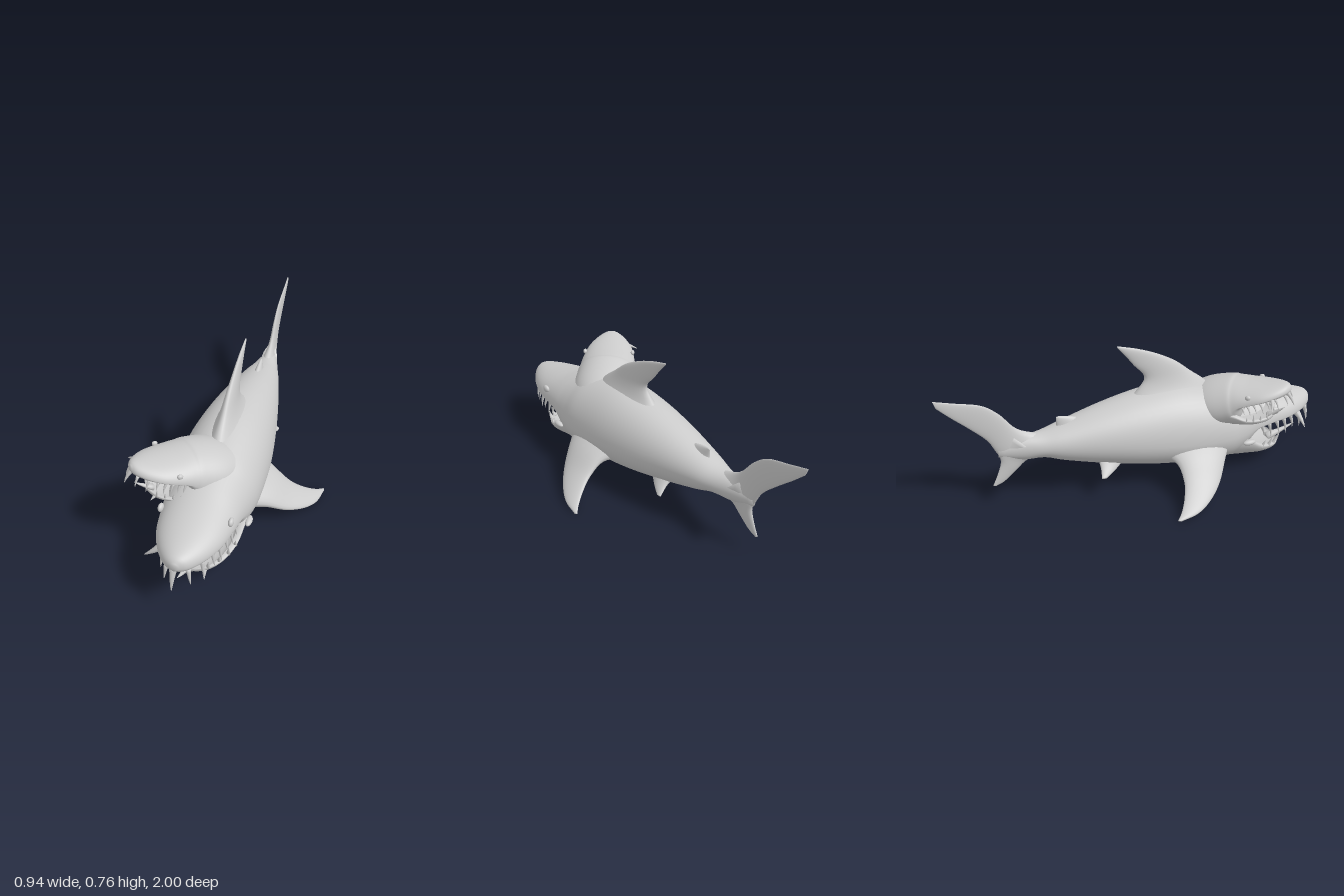
import * as THREE from 'three';

const V = (x, y, z) => new THREE.Vector3(x, y, z);
const material = new THREE.MeshStandardMaterial({ color: 0xcccccc });

// Smoothly resamples rows of numbers, n steps between neighbours
function smoothRows(rows, n) {
  const spline = new THREE.CubicInterpolant(rows.map((r, i) => i), rows.flat(), rows[0].length);
  const out = [];
  for (let i = 0; i <= (rows.length - 1) * n; i++) out.push(Array.from(spline.evaluate(i / n)));
  return out;
}

// Skins a list of closed rings, caps both ends and turns faces outward
function loft(name, rings) {
  const n = rings[0].length, pts = rings.flat(), idx = [];
  for (let i = 0; i < rings.length - 1; i++) {
    for (let j = 0; j < n; j++) {
      const a = i * n + j, b = i * n + (j + 1) % n;
      idx.push(a, b, a + n, b, b + n, a + n);
    }
  }
  [0, rings.length - 1].forEach((r, end) => {
    const centre = rings[r].reduce((s, p) => s.add(p), V(0, 0, 0)).divideScalar(n);
    pts.push(centre);
    for (let j = 0; j < n; j++) {
      const a = r * n + j, b = r * n + (j + 1) % n;
      idx.push(pts.length - 1, end ? a : b, end ? b : a);
    }
  });
  let volume = 0;
  for (let i = 0; i < idx.length; i += 3) {
    volume += pts[idx[i]].dot(pts[idx[i + 1]].clone().cross(pts[idx[i + 2]]));
  }
  if (volume < 0) idx.reverse();
  const g = new THREE.BufferGeometry().setFromPoints(pts);
  g.setIndex(idx);
  g.computeVertexNormals();
  const mesh = new THREE.Mesh(g, material);
  mesh.name = name;
  return mesh;
}

// Rows: z, half width, top, height of widest point, bottom
function hull(name, rows) {
  return loft(name, smoothRows(rows, 5).map(([z, w, top, c, bottom]) => {
    const ring = [];
    for (let j = 0; j < 48; j++) {
      const a = j / 48 * Math.PI * 2, s = Math.sin(a);
      ring.push(V(w * Math.cos(a), c + s * (s > 0 ? top - c : c - bottom), z));
    }
    return ring;
  }));
}

// Rows: leading point, trailing point, half thickness
function fin(name, rows, normal) {
  return loft(name, smoothRows(rows, 5).map((r) => {
    const lead = V(r[0], r[1], r[2]), trail = V(r[3], r[4], r[5]);
    const ring = [];
    for (let j = 0; j < 24; j++) {
      const a = j / 24 * Math.PI * 2;
      ring.push(lead.clone().lerp(trail, 0.5 - 0.5 * Math.cos(a))
        .addScaledVector(normal, r[6] * Math.sin(a)));
    }
    return ring;
  }));
}

// Fin lying in the middle plane; rows: lead z, y, trail z, y, half thickness
const midFin = (name, rows) =>
  fin(name, rows.map(([z, y, z2, y2, t]) => [0, y, z, 0, y2, z2, t]), V(1, 0, 0));

// Curved, pointed tooth from base to tip
function tooth(base, tip, r, bend = 0.1) {
  const mid = base.clone().lerp(tip, 0.5);
  mid.z += base.distanceTo(tip) * bend;
  const curve = new THREE.QuadraticBezierCurve3(base, mid, tip);
  const frames = curve.computeFrenetFrames(6);
  const rings = [];
  for (let i = 0; i <= 6; i++) {
    const p = curve.getPointAt(i / 6), ring = [];
    const rr = r * Math.sqrt(1 - i / 6 * 0.99) * (1 - i / 12);
    for (let j = 0; j < 10; j++) {
      const a = j / 10 * Math.PI * 2;
      ring.push(p.clone().addScaledVector(frames.normals[i], rr * Math.cos(a))
        .addScaledVector(frames.binormals[i], rr * Math.sin(a)));
    }
    rings.push(ring);
  }
  return loft('tooth', rings);
}

function ball(name, p, sx, sy, sz) {
  const m = new THREE.Mesh(new THREE.SphereGeometry(1, 20, 14), material);
  m.name = name;
  m.position.copy(p);
  m.scale.set(sx, sy, sz);
  return m;
}

// Lower jaw, teeth and eyes, shared by both heads
function headParts() {
  const g = new THREE.Group();
  // Scooped jaw; rows: z, half width, bottom, rim height
  const jaw = [[0.36, 0.2, 0.085, 0.25], [0.48, 0.196, 0.062, 0.24], [0.56, 0.19, 0.055, 0.205],
    [0.64, 0.176, 0.055, 0.15], [0.72, 0.142, 0.055, 0.12], [0.78, 0.09, 0.06, 0.105], [0.81, 0.02, 0.08, 0.095]];
  g.add(loft('lowerJaw', smoothRows(jaw, 5).map(([z, w, b, rim]) => {
    const ring = [], d = rim - b;
    for (let j = 0; j <= 20; j++) {
      const a = j / 20 * Math.PI;
      ring.push(V(-w * Math.cos(a), rim - d * Math.sin(a), z));
    }
    for (let j = 0; j <= 20; j++) {
      const a = j / 20 * Math.PI;
      ring.push(V(w * 0.86 * Math.cos(a), rim + 0.004 - d * 0.62 * Math.sin(a), z));
    }
    return ring;
  })));

  const teeth = new THREE.Group();
  teeth.name = 'teeth';
  // Rows along the upper lip and the lower rim: x, z, length
  const upper = [[0.05, 0.955, 0.065], [0.09, 0.89, 0.075], [0.118, 0.83, 0.055], [0.135, 0.78, 0.07],
    [0.148, 0.73, 0.05], [0.157, 0.68, 0.06], [0.163, 0.635, 0.045]];
  const lower = [[0.075, 0.775, 0.045], [0.115, 0.735, 0.04], [0.145, 0.69, 0.05], [0.163, 0.64, 0.035]];
  for (const s of [1, -1]) {
    for (const [x, z, l] of upper) {
      teeth.add(tooth(V(s * x, 0.268, z), V(s * (x + 0.012), 0.25 - l, z + 0.012), 0.012));
    }
    for (const [x, z, l] of lower) {
      const y = 0.11 + (0.77 - z) * 0.25;
      teeth.add(tooth(V(s * x, y - 0.015, z), V(s * (x + 0.01), y + l, z + 0.02), 0.011));
    }
    g.add(ball('eye', V(s * 0.165, 0.34, 0.705), 0.013, 0.02, 0.023));
  }
  // Oversized fangs
  teeth.add(tooth(V(-0.013, 0.28, 0.965), V(-0.018, 0.155, 1.0), 0.02));
  teeth.add(tooth(V(-0.105, 0.275, 0.87), V(-0.185, 0.215, 0.885), 0.02));
  teeth.add(tooth(V(-0.01, 0.09, 0.76), V(-0.02, 0.15, 0.92), 0.024, 0.15));
  teeth.add(tooth(V(0.06, 0.085, 0.78), V(0.068, 0.05, 0.815), 0.014));
  g.add(teeth);
  return g;
}

export function createModel() {
  const model = new THREE.Group();
  model.name = 'twoHeadedShark';

  // Upper jaw with the throat slope behind it
  const snout = [[0.5, 0.205, 0.462, 0.25, 0.075], [0.56, 0.195, 0.445, 0.26, 0.13],
    [0.61, 0.188, 0.43, 0.272, 0.225], [0.68, 0.178, 0.41, 0.278, 0.247], [0.8, 0.155, 0.383, 0.282, 0.25],
    [0.9, 0.112, 0.363, 0.288, 0.25], [0.97, 0.06, 0.345, 0.295, 0.262], [0.998, 0.015, 0.32, 0.3, 0.285]];
  model.add(hull('body', [[-0.72, 0.012, 0.34, 0.31, 0.28], [-0.6, 0.045, 0.37, 0.31, 0.247],
    [-0.5, 0.075, 0.38, 0.31, 0.245], [-0.4, 0.105, 0.405, 0.31, 0.21], [-0.2, 0.152, 0.458, 0.3, 0.155],
    [0, 0.19, 0.498, 0.28, 0.112], [0.2, 0.214, 0.516, 0.26, 0.085], [0.4, 0.218, 0.49, 0.25, 0.068], ...snout]));
  const mainHead = headParts();
  mainHead.name = 'mainHead';
  model.add(mainHead);

  // Second head, hung from its snout tip and growing out of the right shoulder
  const secondHead = new THREE.Group();
  secondHead.name = 'secondHead';
  secondHead.position.set(-0.3, 0.545, 0.7);
  secondHead.rotation.set(-0.3, -0.77, 0, 'YXZ');
  secondHead.scale.set(0.8, 0.62, 0.62);
  const second = headParts();
  second.add(hull('neckAndSnout', [[0.05, 0.14, 0.4, 0.27, 0.15], [0.3, 0.21, 0.46, 0.25, 0.05], ...snout]));
  second.position.set(0, -0.31, -1);
  secondHead.add(second);
  model.add(secondHead);

  // Fins on the middle plane
  model.add(midFin('dorsalFin', [[0.43, 0.45, -0.05, 0.46, 0.085], [0.36, 0.517, 0.0, 0.512, 0.052],
    [0.29, 0.572, 0.035, 0.56, 0.034], [0.2, 0.645, 0.03, 0.6, 0.023], [0.1, 0.7, -0.015, 0.65, 0.015],
    [0, 0.74, -0.06, 0.71, 0.01], [-0.105, 0.77, -0.1, 0.757, 0.004]]));
  model.add(midFin('secondDorsalFin', [[-0.26, 0.39, -0.43, 0.37, 0.03], [-0.32, 0.425, -0.425, 0.4, 0.018],
    [-0.37, 0.44, -0.425, 0.425, 0.01], [-0.41, 0.446, -0.425, 0.443, 0.004]]));
  model.add(midFin('upperTailLobe', [[-0.5, 0.365, -0.64, 0.26, 0.045], [-0.62, 0.42, -0.71, 0.28, 0.022],
    [-0.7, 0.515, -0.765, 0.38, 0.014], [-0.78, 0.577, -0.84, 0.46, 0.01], [-0.9, 0.612, -0.92, 0.535, 0.007],
    [-0.998, 0.64, -0.985, 0.6, 0.004]]));
  model.add(midFin('lowerTailLobe', [[-0.5, 0.255, -0.65, 0.39, 0.045], [-0.58, 0.238, -0.715, 0.315, 0.022],
    [-0.64, 0.19, -0.712, 0.25, 0.015], [-0.7, 0.14, -0.735, 0.18, 0.009], [-0.745, 0.12, -0.76, 0.125, 0.004]]));

  // Paired fins and the knobs behind the mouth corners
  const pectoral = [[0.13, 0.2, 0.47, 0.13, 0.2, 0.08, 0.08], [0.24, 0.16, 0.39, 0.22, 0.18, 0.13, 0.044],
    [0.33, 0.095, 0.32, 0.3, 0.12, 0.135, 0.027], [0.4, 0.05, 0.24, 0.365, 0.073, 0.11, 0.018],
    [0.448, 0.022, 0.15, 0.425, 0.035, 0.07, 0.011], [0.466, 0.012, 0.05, 0.46, 0.017, 0.035, 0.006]];
  const pelvic = [[0.06, 0.2, -0.06, 0.06, 0.21, -0.24, 0.035], [0.1, 0.165, -0.13, 0.1, 0.175, -0.235, 0.02],
    [0.13, 0.145, -0.18, 0.13, 0.15, -0.24, 0.011], [0.15, 0.132, -0.22, 0.15, 0.134, -0.245, 0.005]];
  for (const s of [1, -1]) {
    const flip = (rows) => rows.map((r) => r.map((v, i) => (i === 0 || i === 3 ? s * v : v)));
    const side = s > 0 ? 'left' : 'right';
    model.add(fin(side + 'PectoralFin', flip(pectoral), V(s * 0.6, 0.8, 0)));
    model.add(fin(side + 'PelvicFin', flip(pelvic), V(s * 0.6, 0.8, 0)));
    model.add(ball(side + 'CheekKnob', V(s * 0.203, 0.203, 0.545), 0.016, 0.014, 0.035));
  }
  return model;
}
